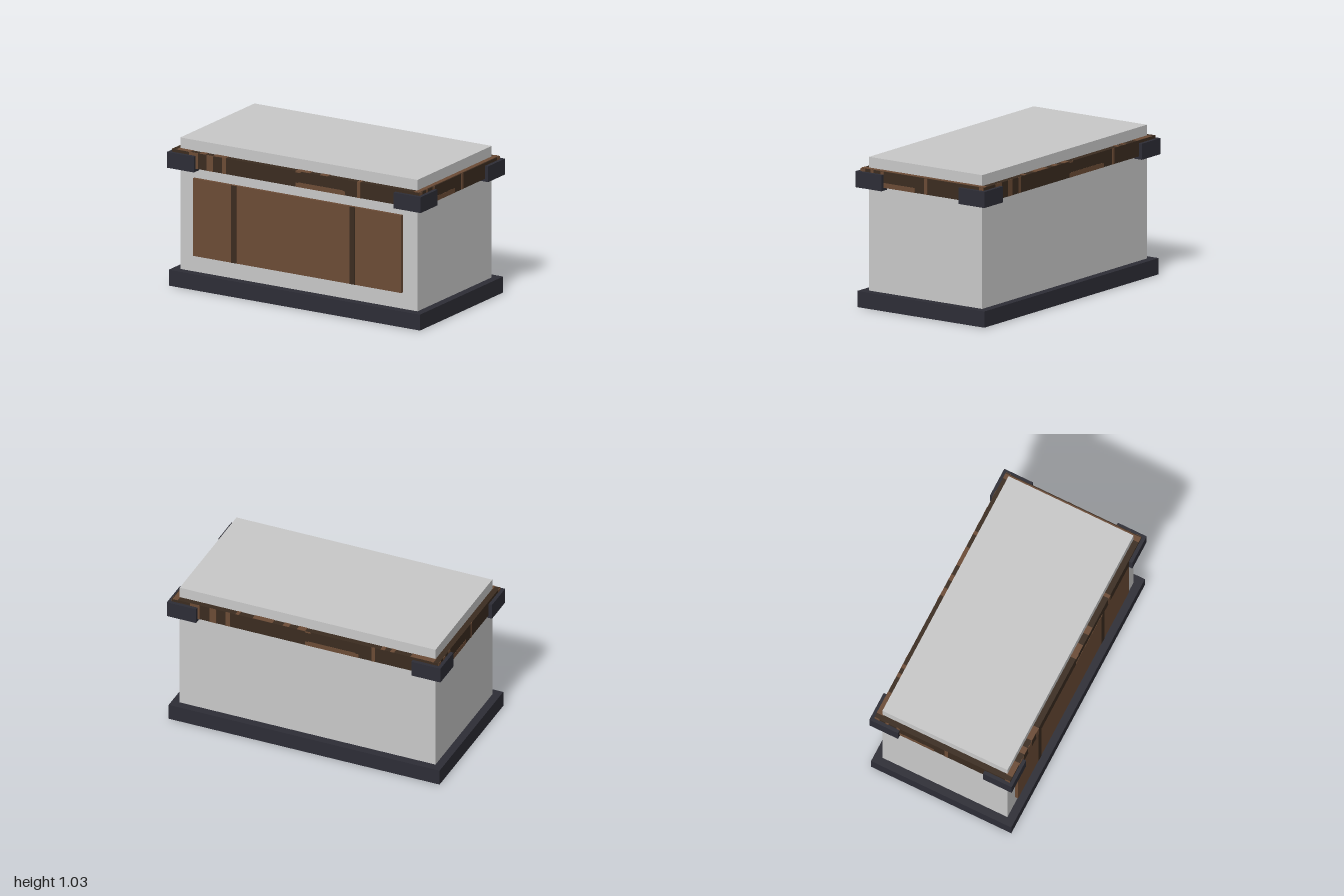
import * as THREE from 'three';

const paint = (name, color) => {
  const m = new THREE.MeshStandardMaterial({ color });
  m.name = name;
  return m;
};

export function createModel() {
  const model = new THREE.Group();
  model.name = 'chest';
  const grey = paint('pale grey', 0xc8c8c8);
  const brown = paint('brown wood', 0x6b4b35);
  const dark = paint('dark wood', 0x3b2c20);
  const iron = paint('dark iron', 0x2d2d36);

  // Box given by its low and high limits on each axis
  const box = (name, mat, [x0, x1], [y0, y1], [z0, z1], parent = model) => {
    const mesh = new THREE.Mesh(new THREE.BoxGeometry(x1 - x0, y1 - y0, z1 - z0), mat);
    mesh.position.set((x0 + x1) / 2, (y0 + y1) / 2, (z0 + z1) / 2);
    mesh.name = name;
    parent.add(mesh);
    return mesh;
  };

  // Body and base; the body's underside shows inside the base
  box('body', grey, [-0.935, 0.935], [0, 1.03], [-0.468, 0.468]);
  box('base', iron, [-0.99, 0.99], [0.002, 0.113], [-0.525, 0.525]);

  // Front panel with two dark straps
  box('frontPanel', brown, [-0.822, 0.82], [0.228, 0.768], [0.46, 0.491]);
  for (const x of [-0.5, 0.434]) {
    box('panelStrap', dark, [x - 0.021, x + 0.021], [0.228, 0.768], [0.49, 0.493]);
  }

  // Wooden rim around the top
  const W = 0.975, D = 0.508, Y0 = 0.845, Y1 = 0.955, T = 0.002;
  box('rim', dark, [-W, W], [Y0, Y1], [-D, D]);

  // Light grain on the rim's long and short sides: [from, to, bottom, top]
  const longGrain = [
    [-0.84, -0.77, Y0, Y1], [-0.70, -0.65, Y0, Y1], [-0.58, -0.55, Y0, Y1],
    [0, 0.39, Y0, 0.873], [0.02, 0.37, 0.87, 0.878], [0, 0.04, 0.945, Y1], [0.485, 0.51, Y0, Y1],
  ];
  const shortGrain = [
    [-0.507, -0.47, Y0, Y1], [-0.425, -0.40, Y0, Y1], [-0.343, -0.317, 0.935, Y1],
    [-0.32, -0.06, Y0, 0.878], [0.017, 0.043, Y0, Y1], [0.47, 0.507, Y0, Y1],
  ];
  for (let i = 0; i < 4; i++) {
    const side = new THREE.Group();
    side.name = 'rimGrainSide';
    side.rotation.y = i * Math.PI / 2;
    const out = i % 2 ? W : D;
    for (const [a, b, y0, y1] of i % 2 ? shortGrain : longGrain) {
      box('rimGrain', brown, [a, b], [y0, y1], [out - T, out + T], side);
    }
    model.add(side);
  }

  // Light grain on the rim's upper edge
  const topGrain = {
    front: [[-0.94, -0.83], [-0.76, -0.71], [-0.65, -0.55], [0, 0.11], [0.19, 0.25], [0.485, 0.51]],
    back: [[-0.94, -0.77], [-0.65, -0.62], [-0.58, -0.55], [0, 0.06], [0.12, 0.165], [0.24, 0.385], [0.485, 0.51]],
  };
  for (const x of topGrain.front) box('rimTopGrain', brown, x, [Y1 - T, Y1 + T], [0.46, D]);
  for (const x of topGrain.back) box('rimTopGrain', brown, x, [Y1 - T, Y1 + T], [-D, -0.46]);
  box('rimTopGrain', brown, [0.93, 0.968], [Y1 - T, Y1 + T], [-D, D]);

  // Iron corner guards
  for (const sx of [-1, 1]) {
    for (const sz of [-1, 1]) {
      const guard = box('cornerGuard', iron, [0.787, 1], [0.825, 0.935], [0.318, 0.533]);
      guard.position.x *= sx;
      guard.position.z *= sz;
    }
  }
  return model;
}
